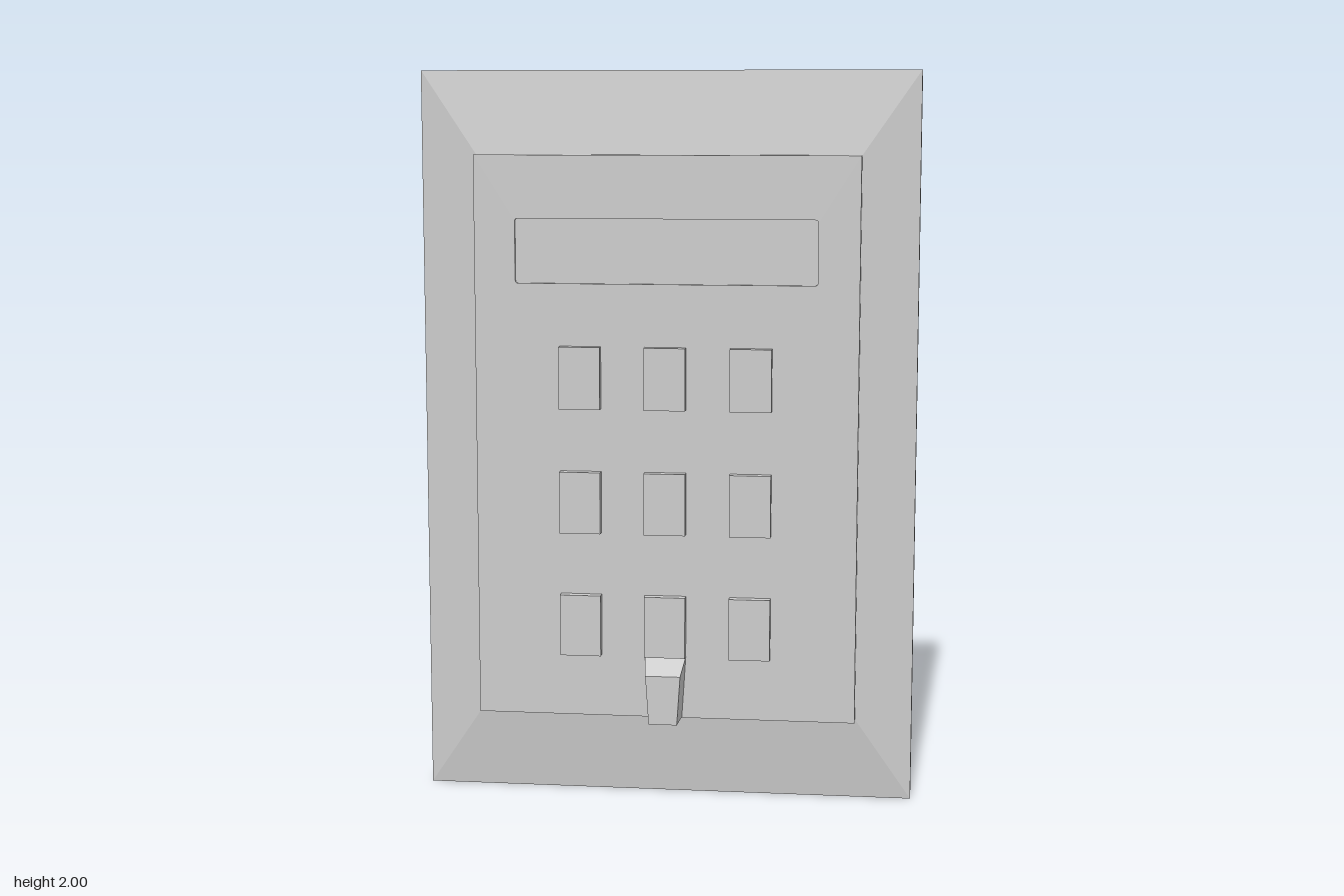
import * as THREE from 'three';

const material = new THREE.MeshStandardMaterial({ color: 0xcccccc, flatShading: true });

function addMesh(parent, name, geometry) {
  const mesh = new THREE.Mesh(geometry, material);
  mesh.name = name;
  parent.add(mesh);
  return mesh;
}

// Six-sided block between a back and a front section:
// each section is { z, y0, y1, w0, w1 } with half widths w0 (bottom) and w1 (top)
function taperedBlock(back, front) {
  const geometry = new THREE.BoxGeometry(2, 2, 2);
  const p = geometry.attributes.position;
  for (let i = 0; i < p.count; i++) {
    const s = p.getZ(i) > 0 ? front : back;
    const top = p.getY(i) > 0;
    p.setXYZ(i, p.getX(i) * (top ? s.w1 : s.w0), top ? s.y1 : s.y0, s.z);
  }
  geometry.computeVertexNormals();
  return geometry;
}

// Rectangle outline with small rounded corners
function roundedRect(target, x0, y0, x1, y1, r) {
  target.moveTo(x0 + r, y0);
  target.lineTo(x1 - r, y0);
  target.quadraticCurveTo(x1, y0, x1, y0 + r);
  target.lineTo(x1, y1 - r);
  target.quadraticCurveTo(x1, y1, x1 - r, y1);
  target.lineTo(x0 + r, y1);
  target.quadraticCurveTo(x0, y1, x0, y1 - r);
  target.lineTo(x0, y0 + r);
  target.quadraticCurveTo(x0, y0, x0 + r, y0);
  return target;
}

export function createModel() {
  const model = new THREE.Group();
  model.name = 'keypad';

  const outer = { y0: 0, y1: 2, w0: 0.677, w1: 0.677 };
  const inner = { y0: 0.23, y1: 1.775, w0: 0.522, w1: 0.522 };
  const panelFront = 0.062;

  // Wall plate and its sloping surround
  addMesh(model, 'backPlate', taperedBlock({ ...outer, z: -0.126 }, { ...outer, z: -0.006 }));
  addMesh(model, 'bevelledSurround', taperedBlock({ ...outer, z: -0.006 }, { ...inner, z: 0.021 }));

  // Raised panel with a window for the display
  const panel = new THREE.Shape();
  panel.moveTo(-inner.w0, inner.y0);
  panel.lineTo(inner.w0, inner.y0);
  panel.lineTo(inner.w0, inner.y1);
  panel.lineTo(-inner.w0, inner.y1);
  panel.closePath();
  panel.holes.push(roundedRect(new THREE.Path(), -0.41, 1.43, 0.41, 1.605, 0.008));
  const panelGeometry = new THREE.ExtrudeGeometry(panel, {
    depth: panelFront - 0.021, bevelEnabled: false, curveSegments: 3,
  });
  addMesh(model, 'panel', panelGeometry).position.z = 0.021;

  // Display, sunk slightly below the panel face
  const screen = addMesh(model, 'screen', new THREE.BoxGeometry(0.83, 0.185, 0.03));
  screen.position.set(0, 1.5175, panelFront - 0.008 - 0.015);

  // Three by three keys
  const keys = new THREE.Group();
  keys.name = 'keys';
  model.add(keys);
  const keyGeometry = new THREE.BoxGeometry(0.113, 0.17, 0.035);
  for (let row = 0; row < 3; row++) {
    for (let col = 0; col < 3; col++) {
      const key = addMesh(keys, 'key', keyGeometry);
      key.position.set((col - 1) * 0.233, 1.175 - row * 0.343, 0.087 - 0.0175);
    }
  }

  // Tapered latch below the middle column
  addMesh(model, 'latch', taperedBlock(
    { z: 0.06, y0: 0.232, y1: 0.405, w0: 0.046, w1: 0.057 },
    { z: 0.126, y0: 0.226, y1: 0.362, w0: 0.039, w1: 0.048 },
  ));

  return model;
}
